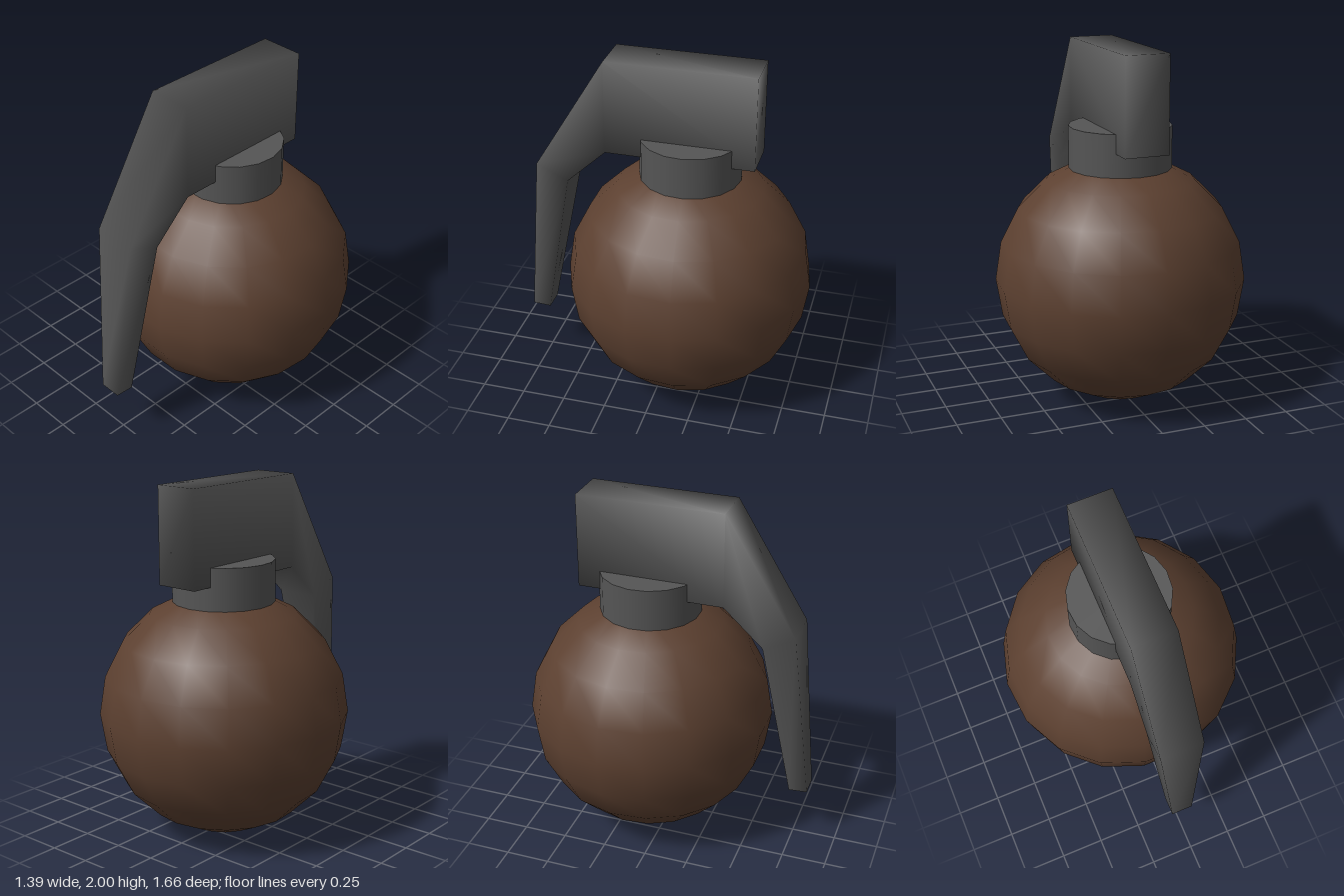
import * as THREE from 'three';

const brown = new THREE.MeshStandardMaterial({ name: 'brown', color: 0x5c4030 });
const grey = new THREE.MeshStandardMaterial({ name: 'grey', color: 0x555555 });

const SIDES = 17;
const BODY_Z = -0.13;

// Smooth-shaded bar through four-cornered sections: [outer z, outer y, inner z, inner y, half width]
function sectionBar(sections) {
  const positions = [];
  const index = [];
  const quad = (a, b, c, d) => index.push(a, b, c, a, c, d);
  sections.forEach(([oz, oy, iz, iy, w], i) => {
    positions.push(w, oy, oz, -w, oy, oz, -w, iy, iz, w, iy, iz);
    if (i === 0) return;
    const p = (i - 1) * 4;
    const n = i * 4;
    for (let j = 0; j < 4; j++) {
      const k = (j + 1) % 4;
      quad(p + j, p + k, n + k, n + j);
    }
  });
  const last = (sections.length - 1) * 4;
  quad(3, 2, 1, 0);
  quad(last, last + 1, last + 2, last + 3);
  const geometry = new THREE.BufferGeometry();
  geometry.setAttribute('position', new THREE.Float32BufferAttribute(positions, 3));
  geometry.setIndex(index);
  geometry.computeVertexNormals();
  return geometry;
}

export function createModel() {
  const group = new THREE.Group();
  const add = (name, geometry, material) => {
    const mesh = new THREE.Mesh(geometry, material);
    mesh.name = name;
    group.add(mesh);
    return mesh;
  };

  // Round body, with a corner pointing to the back
  const body = add('body', new THREE.SphereGeometry(0.7, SIDES, 10).rotateY(-Math.PI / 2), brown);
  body.position.set(0, 0.703, BODY_Z);

  // Collar on top of the body
  const collar = add('collar', new THREE.CylinderGeometry(0.285, 0.285, 0.37, SIDES).rotateY(Math.PI), grey);
  collar.position.set(0, 1.385, BODY_Z);

  // Head block bending forward and down into a tapering lever
  add('lever', sectionBar([
    [-0.51, 2.0, -0.51, 1.465, 0.125],
    [0.325, 2.0, 0.325, 1.465, 0.125],
    [0.73, 1.34, 0.55, 1.255, 0.125],
    [0.83, 0.335, 0.725, 0.328, 0.063],
  ]), grey);

  return group;
}
